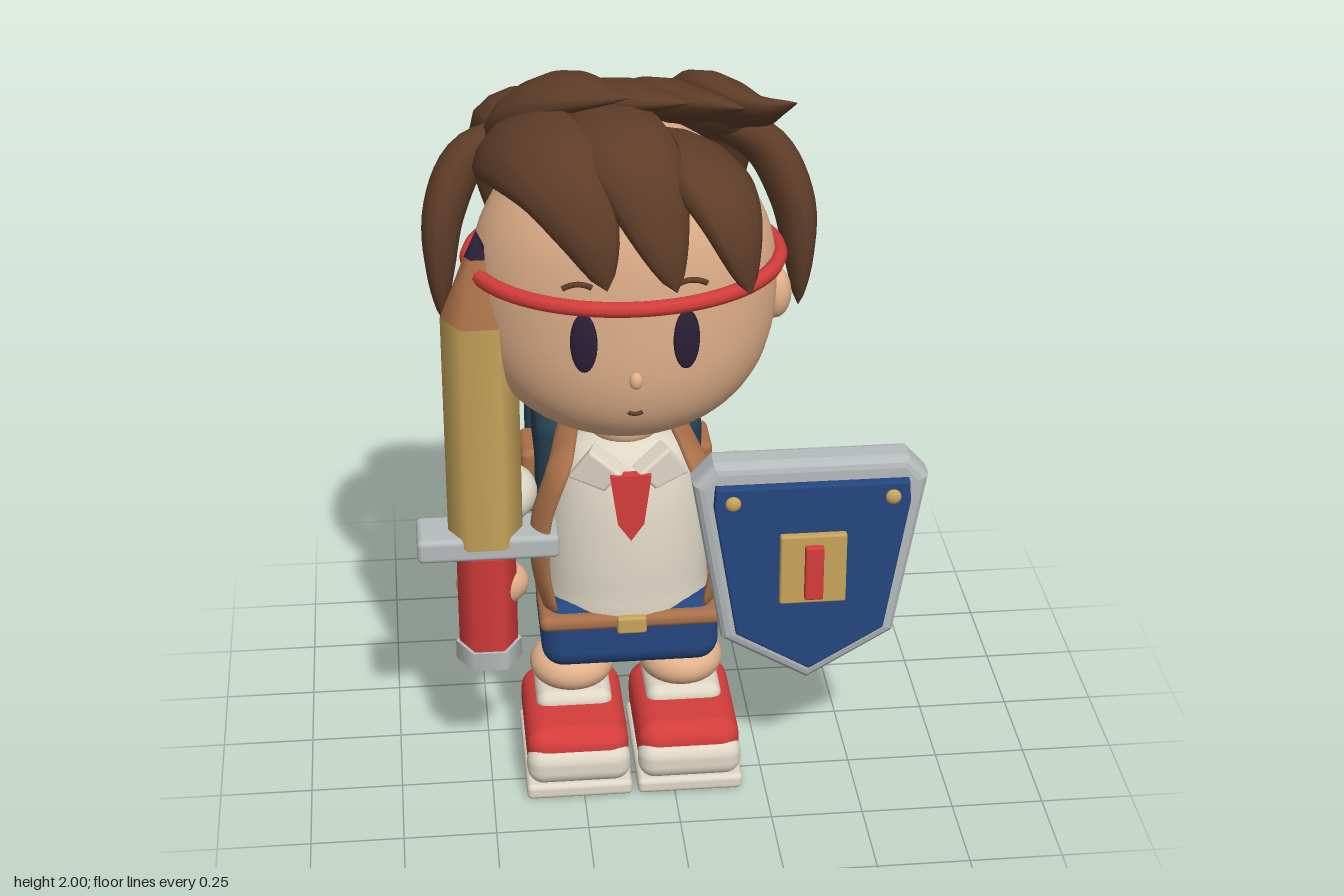
import * as THREE from 'three';
import { RoundedBoxGeometry } from 'three/addons/geometries/RoundedBoxGeometry.js';

const V = (x, y, z) => new THREE.Vector3(x, y, z);
const mat = (name, color) => {
  const m = new THREE.MeshStandardMaterial({ color });
  m.name = name;
  return m;
};

const CX = -0.11; // centre line of the figure
const HEAD = V(CX, 1.465, 0.09);
const HEAD_R = V(0.4, 0.4, 0.335);

// Head slices are ellipses; the jaw is squarer than the crown, the side outline squarer than the front
const round = (t, p) => Math.pow(Math.max(0, 1 - Math.pow(Math.abs(t), p)), 1 / p);
const sliceX = t => round(t, t > 0 ? 2.1 : 2.6) * HEAD_R.x;
const sliceZ = t => round(t, 3.3) * HEAD_R.z;

// Depth of the face surface at a point on the front of the head
function faceZ(x, y) {
  const t = (y - HEAD.y) / HEAD_R.y;
  return HEAD.z + sliceZ(t) * Math.sqrt(1 - Math.pow((x - HEAD.x) / sliceX(t), 2));
}

function headGeometry() {
  const g = new THREE.SphereGeometry(1, 40, 32);
  const p = g.attributes.position;
  for (let i = 0; i < p.count; i++) {
    const x = p.getX(i), y = p.getY(i), z = p.getZ(i), r = Math.hypot(x, z) || 1;
    p.setXYZ(i, (x / r) * sliceX(y), y * HEAD_R.y, (z / r) * sliceZ(y));
  }
  g.computeVertexNormals();
  return g;
}

// Elliptical section swept along a spine, lying flat around a centre point
function sweep(points, width, thick, centre, profile, steps = 22, sides = 12) {
  const curve = new THREE.CatmullRomCurve3(points);
  const pos = [], index = [];
  for (let i = 0; i <= steps; i++) {
    const t = i / steps, c = curve.getPointAt(t), T = curve.getTangentAt(t);
    const N = c.clone().sub(centre);
    N.addScaledVector(T, -N.dot(T)).normalize();
    const S = N.clone().cross(T);
    const k = Math.max(profile(t), 0.004);
    for (let j = 0; j < sides; j++) {
      const a = (j / sides) * Math.PI * 2;
      const q = c.clone().addScaledVector(S, Math.cos(a) * width * k).addScaledVector(N, Math.sin(a) * thick * k);
      pos.push(q.x, q.y, q.z);
      if (i < steps) {
        const A = i * sides + j, B = i * sides + (j + 1) % sides;
        index.push(A, B, A + sides, B, B + sides, A + sides);
      }
    }
  }
  const g = new THREE.BufferGeometry();
  g.setAttribute('position', new THREE.Float32BufferAttribute(pos, 3));
  g.setIndex(index);
  g.computeVertexNormals();
  return g;
}
const lockProfile = t => Math.pow(Math.max(0, Math.sin(Math.PI * Math.pow(t, 0.7))), 0.65);
const spikeProfile = t => Math.pow(Math.max(0, Math.sin(Math.PI * Math.pow(t, 0.7))), 0.85);
const strapProfile = t => Math.pow(Math.max(0, Math.sin(Math.PI * t)), 0.12);
const tailProfile = t => (t < 0.35 ? t / 0.35 : 1 - 0.6 * (t - 0.35));

function plate(pts, depth, bevel = 0) {
  const shape = new THREE.Shape(pts.map(p => new THREE.Vector2(p[0], p[1])));
  return new THREE.ExtrudeGeometry(shape, {
    depth, bevelEnabled: bevel > 0, bevelSize: bevel, bevelThickness: bevel, bevelOffset: -bevel, bevelSegments: 3,
  });
}

const lathe = (pts, divisions) => new THREE.LatheGeometry(
  new THREE.SplineCurve(pts.map(p => new THREE.Vector2(...p))).getPoints(divisions), 32);

export function createModel() {
  const skin = mat('skin', 0xe1b18b), brown = mat('hair brown', 0x5e3d28), cream = mat('cream', 0xdfd7c6);
  const red = mat('red', 0xd43d3b), blue = mat('blue', 0x24467f), grey = mat('light grey', 0xb6bbbc);
  const gold = mat('gold', 0xc7a45b), leather = mat('leather', 0xa87049), navy = mat('navy', 0x263f50);
  const dark = mat('dark plum', 0x2a2036);

  const model = new THREE.Group();
  const add = (name, geo, m, x = 0, y = 0, z = 0) => {
    const o = new THREE.Mesh(geo, m);
    o.name = name;
    o.position.set(x, y, z);
    model.add(o);
    return o;
  };
  const box = (name, m, w, h, d, x, y, z, r = 0.02) =>
    add(name, new RoundedBoxGeometry(w, h, d, 4, r), m, x, y, z);
  const ball = (name, m, rx, ry, rz, x, y, z) => {
    const o = add(name, new THREE.SphereGeometry(1, 24, 16), m, x, y, z);
    o.scale.set(rx, ry, rz);
    return o;
  };
  // Puffy flattened roll with a rounded rim
  const puffGeo = lathe([[0, -1], [0.6, -0.97], [0.9, -0.6], [1, 0], [0.9, 0.6], [0.6, 0.97], [0, 1]], 24);
  const puff = (name, m, r, h, x, y, z) => {
    const o = add(name, puffGeo, m, x, y, z);
    o.scale.set(r, h, r);
    return o;
  };
  const hex = (name, m, r1, r2, y0, y1) =>
    add(name, new THREE.CylinderGeometry(r1, r2, y1 - y0, 6).rotateY(Math.PI / 6), m, -0.495, (y0 + y1) / 2, 0.182);

  // Head and face
  add('head', headGeometry(), skin, HEAD.x, HEAD.y, HEAD.z);
  ball('neck', skin, 0.095, 0.06, 0.09, CX, 1.02, 0.07);
  ball('nose', skin, 0.017, 0.023, 0.015, CX, 1.32, faceZ(CX, 1.32) + 0.014);
  const mouth = add('mouth', new THREE.TorusGeometry(0.032, 0.006, 6, 12, 1.3), brown, CX, 1.245, faceZ(CX, 1.215) + 0.006);
  mouth.rotation.z = -Math.PI / 2 - 0.65;
  for (const s of [-1, 1]) {
    const ex = CX + s * 0.13;
    ball('eye', dark, 0.035, 0.082, 0.012, ex, 1.425, faceZ(ex, 1.425) + 0.014).rotation.y = s * 0.2;
    const bx = CX + s * 0.145;
    const brow = add('eyebrow', new THREE.TorusGeometry(0.07, 0.008, 6, 12, 1.1), brown, bx, 1.515, faceZ(bx, 1.585) + 0.016);
    brow.rotation.z = Math.PI / 2 - 0.55;
    ball('ear', skin, 0.045, 0.072, 0.047, CX + s * 0.4, 1.385, 0.075);
  }

  // Headband with a knot and two tails at the back
  const ring = [];
  for (let i = 0; i < 32; i++) {
    const a = (i / 32) * Math.PI * 2;
    ring.push(V(CX + Math.cos(a) * 0.405, 1.525, 0.095 + Math.sin(a) * 0.352));
  }
  add('headband', new THREE.TubeGeometry(new THREE.CatmullRomCurve3(ring, true), 96, 0.021, 8, true), red);
  ball('headbandKnot', red, 0.04, 0.035, 0.03, CX, 1.52, -0.265);
  for (const s of [-1, 1])
    add('headbandTail', sweep([V(CX + s * 0.2, 1.36, -0.29), V(CX + s * 0.12, 1.43, -0.285), V(CX, 1.52, -0.265)],
      0.06, 0.012, HEAD, tailProfile, 12, 8), red);

  // Hair: fringe, swept crown, back and side locks
  const lock = (name, pts, w, h, centre = HEAD, profile = lockProfile) =>
    add(name, sweep(pts, w, h, centre, profile), brown);
  [[0, 0, 0], [0.175, 0.03, 0], [0.36, 0, -0.045]].forEach(([dx, dy, drop]) => lock('fringeLock', [
    V(-0.44 + dx * 1.1, 1.72 + dy + drop, -0.1), V(-0.375 + dx * 1.1, 1.83 + dy + drop, 0.08),
    V(-0.285 + dx * 1.06, 1.825 + dy + drop * 0.8, 0.3), V(-0.225 + dx * 1.01, 1.72, 0.388),
    V(-0.18 + dx, 1.57 - dx * 0.07, 0.43)], 0.14, 0.072));
  const backTips = [1.285, 1.3, 1.36, 1.4];
  for (let i = 0; i < 4; i++) {
    const x0 = -0.4 + i * 0.165, x1 = -0.1 + i * 0.145, y = 2.0 - i * 0.02;
    lock('crownLock', [V(x0, 1.74, -0.2), V(x0 + 0.06, 1.87, -0.08), V(x0 + 0.15, y - 0.05, 0.05),
      V(x1, y - 0.015, 0.185 - (i === 3 ? 0.08 : 0))], 0.13, 0.06, HEAD, spikeProfile);
    const xb = -0.365 + i * 0.174;
    lock('backLock', [V(xb, 1.83, -0.04), V(xb, 1.79, -0.23), V(xb, 1.65, -0.3),
      V(xb + 0.015, 1.47, -0.305), V(xb + 0.04, backTips[i], -0.262)], 0.13, 0.078, V((xb * 2 + CX) / 3, HEAD.y, HEAD.z));
  }
  for (const s of [-1, 1])
    lock('sideLock', [V(CX + s * 0.25, 1.79, -0.14), V(CX + s * 0.39, 1.73, -0.11), V(CX + s * 0.46, 1.6, -0.05),
      V(CX + s * 0.475, 1.45, -0.015), V(CX + s * 0.475, 1.31, 0)], 0.088, 0.06);

  // Body and clothes
  add('shirt', lathe([[0, 0.48], [0.205, 0.48], [0.224, 0.58], [0.219, 0.73], [0.198, 0.87], [0.16, 0.96], [0.085, 1.0], [0, 1.005]], 28),
    cream, CX, 0, 0.08).scale.z = 0.8;
  box('shorts', blue, 0.485, 0.19, 0.36, CX, 0.445, 0.08, 0.06);
  box('belt', leather, 0.495, 0.045, 0.375, CX, 0.503, 0.08, 0.02);
  box('beltBuckle', gold, 0.08, 0.05, 0.025, CX, 0.503, 0.272, 0.008);
  add('tie', plate([[0.055, 0.955], [0.035, 0.81], [0, 0.76], [-0.035, 0.81], [-0.055, 0.955]], 0.03), red, CX, 0, 0.238);
  for (const s of [-1, 1]) {
    const pts = [[0.008, 0.955], [0.055, 0.9], [0.155, 0.93], [0.095, 1.015]].map(p => [p[0] * s, p[1]]);
    const flap = add('collarFlap', plate(pts, 0.045, 0.008), cream, CX, 0, 0.215);
    flap.rotation.y = s * 0.35;

    // Shoulder strap
    add('strap', sweep([V(CX + s * 0.13, 1.0, -0.09), V(CX + s * 0.16, 0.975, 0.07), V(CX + s * 0.185, 0.95, 0.19),
      V(CX + s * 0.235, 0.8, 0.2), V(CX + s * 0.24, 0.65, 0.2), V(CX + s * 0.21, 0.5, 0.2)],
    0.042, 0.015, V(CX, 0.72, 0.05), strapProfile, 30), leather);

    // Arm, the sword arm held slightly wider
    const out = s < 0 ? 0.03 : 0;
    puff('sleeve', cream, 0.112, 0.062, CX + s * (0.32 + out), 0.82, 0.08).rotation.z = s * -0.15;
    ball('forearm', skin, 0.097, 0.08, 0.095, CX + s * (0.37 + out), 0.705, 0.08);
    ball('hand', skin, s < 0 ? 0.1 : 0.08, 0.07, 0.073, CX + s * 0.37, 0.585, 0.15);

    // Leg and shoe
    const lx = CX + s * 0.153;
    puff('leg', skin, 0.117, 0.052, lx, 0.276, 0.075);
    box('sock', cream, 0.21, 0.07, 0.23, lx, 0.2, 0.08, 0.034);
    box('shoe', red, 0.28, 0.155, 0.395, lx, 0.125, 0.148, 0.055);
    box('toeCap', cream, 0.284, 0.11, 0.1, lx, 0.1, 0.315, 0.045);
    box('sole', cream, 0.29, 0.045, 0.41, lx, 0.027, 0.155, 0.015);
  }

  // Giant pencil sword
  hex('pencilBody', gold, 0.1, 0.1, 0.75, 1.4);
  hex('pencilCone', leather, 0.033, 0.1, 1.4, 1.57);
  hex('pencilTip', dark, 0.001, 0.033, 1.57, 1.64);
  box('crossguard', grey, 0.38, 0.068, 0.147, -0.49, 0.74, 0.177, 0.015);
  hex('grip', red, 0.08, 0.08, 0.42, 0.71);
  hex('pommel', grey, 0.09, 0.09, 0.37, 0.425);

  // Shield
  const SX = 0.365;
  const outline = (pts) => [...pts, ...pts.slice(1).reverse().map(p => [-p[0], p[1]])];
  add('shieldRim', plate(outline([[0, 0.325], [0.235, 0.465], [0.315, 0.94], [0.26, 1.0]]), 0.05, 0.028), grey, SX, 0, 0.244);
  add('shieldFace', plate(outline([[0, 0.38], [0.2, 0.5], [0.262, 0.885], [0.258, 0.945]]), 0.02, 0.006), blue, SX, 0, 0.325);
  box('shieldPlate', gold, 0.178, 0.205, 0.025, SX, 0.712, 0.374, 0.006);
  box('shieldBar', red, 0.05, 0.16, 0.022, SX, 0.71, 0.397, 0.006);
  for (const s of [-1, 1]) ball('shieldRivet', gold, 0.021, 0.021, 0.014, SX + s * 0.213, 0.905, 0.355);
  box('shieldHandle', leather, 0.18, 0.08, 0.125, 0.38, 0.68, 0.153, 0.025);

  // Backpack
  box('backpack', navy, 0.465, 0.5, 0.295, CX, 0.7, -0.228, 0.055);
  box('backpackFlap', navy, 0.495, 0.325, 0.06, CX, 0.78, -0.405, 0.025);
  box('backpackClasp', gold, 0.085, 0.07, 0.03, CX, 0.61, -0.45, 0.01);
  for (const s of [-1, 1]) {
    box('sidePocket', leather, 0.06, 0.195, 0.165, CX + s * 0.24, 0.708, -0.255, 0.02);
    add('handlePost', new THREE.CylinderGeometry(0.014, 0.014, 0.09, 10), navy, CX + s * 0.075, 0.98, -0.222);
  }
  box('handleBar', navy, 0.18, 0.03, 0.032, CX, 1.02, -0.222, 0.013);

  return model;
}
